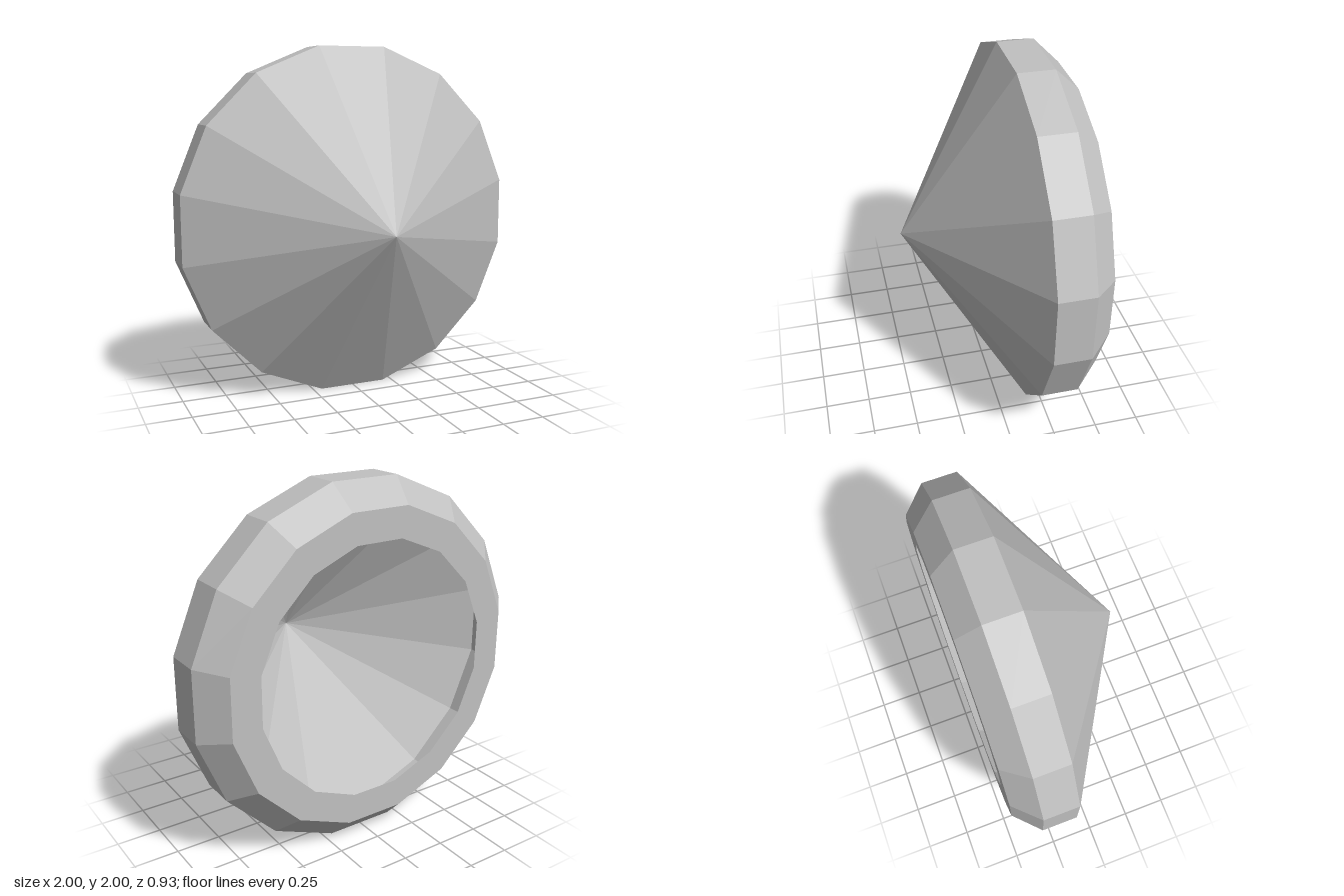
import * as THREE from 'three';

const SIDES = 16;
const TO_CORNER = 1 / Math.cos(Math.PI / SIDES); // flat-side distance to corner radius

export function createModel() {
  const group = new THREE.Group();
  group.name = 'facetedShell';

  const grey = new THREE.MeshStandardMaterial({ color: 0xc0c0c0, flatShading: true, side: THREE.DoubleSide });
  grey.name = 'plain grey';

  // One ring of facets around the z axis, running from back to front
  function band(name, [r0, z0], [r1, z1]) {
    const profile = [
      new THREE.Vector2(r0 * TO_CORNER, z0),
      new THREE.Vector2(r1 * TO_CORNER, z1),
    ];
    const geometry = new THREE.LatheGeometry(profile, SIDES, Math.PI / SIDES);
    geometry.rotateX(Math.PI / 2);
    const mesh = new THREE.Mesh(geometry, grey);
    mesh.name = name;
    mesh.position.y = 1;
    group.add(mesh);
  }

  // Open hollow shell: flat back rim, bevel, straight girdle and pointed front
  band('backRim', [0.7, -0.465], [0.867, -0.465]);
  band('backBevel', [0.867, -0.465], [1, -0.33]);
  band('girdle', [1, -0.33], [1, -0.13]);
  band('frontCone', [1, -0.13], [0, 0.465]);

  return group;
}
